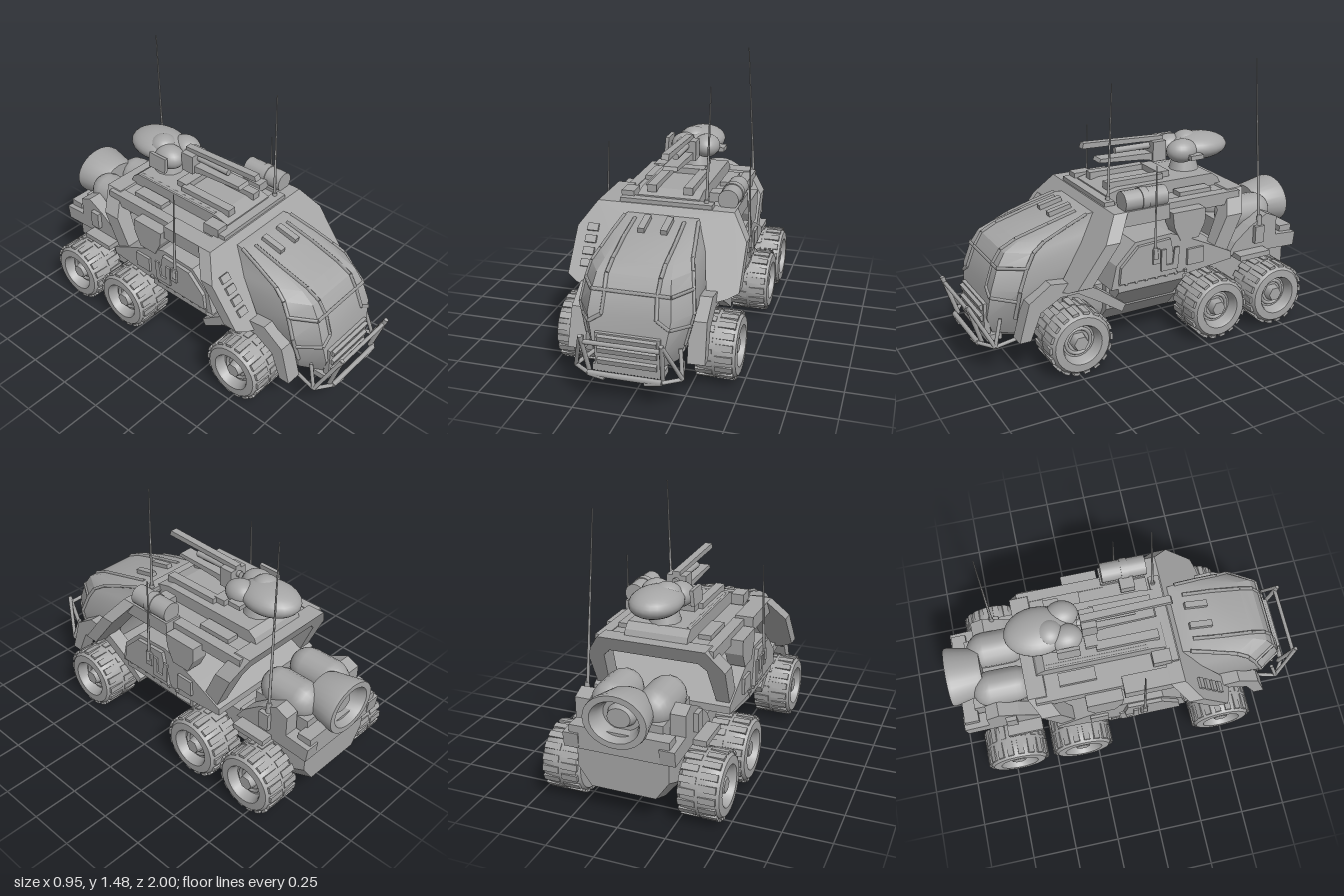
import * as THREE from 'three';
import { toCreasedNormals } from 'three/addons/utils/BufferGeometryUtils.js';

export function createModel() {
  const root = new THREE.Group();
  const grey = new THREE.MeshStandardMaterial({ color: 0xa6a6a6 });
  grey.name = 'armour grey';

  const add = (name, geo, parent = root) => {
    const m = new THREE.Mesh(geo, grey);
    m.name = name;
    parent.add(m);
    return m;
  };
  const box = (name, x, y, z, w, h, d, rx = 0, rz = 0, parent = root) => {
    const m = add(name, new THREE.BoxGeometry(w, h, d), parent);
    m.position.set(x, y, z);
    m.rotation.set(rx, 0, rz);
    return m;
  };
  // Round bar between two points
  const bar = (name, a, b, r, r2 = r, sides = 6) => {
    const p = new THREE.Vector3(...a), q = new THREE.Vector3(...b), d = q.clone().sub(p);
    const m = add(name, new THREE.CylinderGeometry(r2, r, d.length(), sides));
    m.position.copy(p).add(q).multiplyScalar(0.5);
    m.quaternion.setFromUnitVectors(new THREE.Vector3(0, 1, 0), d.normalize());
    return m;
  };
  const shapeOf = pts => new THREE.Shape(pts.map(p => new THREE.Vector2(...p)));
  // Side outline of [z, y] points, extruded from x0 to x1
  const slab = (name, pts, x0, x1) => {
    const g = new THREE.ExtrudeGeometry(shapeOf(pts), { depth: x1 - x0, bevelEnabled: false });
    return add(name, g.rotateY(-Math.PI / 2).translate(x1, 0, 0));
  };
  // Skin over equal rings, counterclockwise about the direction of travel
  const loft = (rings, crease = 0.5) => {
    const n = rings[0].length, idx = [];
    for (let r = 0; r < rings.length - 1; r++) for (let i = 0; i < n; i++) {
      const a = r * n + i, b = r * n + (i + 1) % n;
      idx.push(a, b, b + n, a, b + n, a + n);
    }
    const t = (rings.length - 1) * n;
    for (let i = 1; i < n - 1; i++) idx.push(0, i + 1, i, t, t + i, t + i + 1);
    const g = new THREE.BufferGeometry();
    g.setAttribute('position', new THREE.Float32BufferAttribute(rings.flat(2), 3));
    g.setIndex(idx);
    g.computeVertexNormals();
    return toCreasedNormals(g, crease);
  };
  const both = f => [1, -1].forEach(f);

  // Wheels: lathed tyre with recessed rim, hexagonal hub and tread blocks
  const tyre = new THREE.LatheGeometry([[0.0, -0.1], [0.1, -0.105], [0.15, -0.105], [0.167, -0.085], [0.172, -0.03],
    [0.172, 0.03], [0.167, 0.085], [0.15, 0.108], [0.108, 0.11], [0.1, 0.098], [0.088, 0.055], [0, 0.05]]
    .map(p => new THREE.Vector2(...p)), 28).rotateZ(-Math.PI / 2);
  const tyreGeo = toCreasedNormals(tyre, 0.6);
  both(s => [0.49, -0.34, -0.72].forEach(z => {
    const w = new THREE.Group();
    w.name = 'wheel';
    w.position.set(s * 0.363, 0.186, z);
    if (s < 0) w.rotation.y = Math.PI;
    add('tyre', tyreGeo, w);
    const ring = add('rimRing', new THREE.TorusGeometry(0.068, 0.01, 6, 20).rotateY(Math.PI / 2), w);
    ring.position.x = 0.056;
    add('hub', new THREE.CylinderGeometry(0.04, 0.05, 0.05, 6).rotateZ(-Math.PI / 2), w).position.x = 0.07;
    for (let i = 0; i < 18; i++) both(k => {
      const a = (i + (k > 0 ? 0.5 : 0)) * Math.PI / 9;
      const b = box('treadBlock', k * 0.052, Math.cos(a) * 0.169, Math.sin(a) * 0.169, 0.088, 0.014, 0.034, a, 0, w);
      b.rotation.y = 0;
    });
    root.add(w);
  }));
  [0.49, -0.34, -0.72].forEach(z => bar('axle', [-0.3, 0.186, z], [0.3, 0.186, z], 0.04, 0.04, 10));

  // Lower hull with sloping flanks, and the narrower rear chassis
  const hullRing = (z, w0, w1, y0, y1) => [[-w0, y0, z], [w0, y0, z], [w1, y0 + 0.1, z], [w1, y1, z], [-w1, y1, z], [-w1, y0 + 0.1, z]];
  add('lowerHull', loft([hullRing(-0.17, 0.19, 0.28, 0.145, 0.4), hullRing(0.26, 0.19, 0.28, 0.145, 0.4)]));
  add('frontChassis', loft([hullRing(0.26, 0.19, 0.24, 0.145, 0.38), hullRing(0.72, 0.17, 0.24, 0.15, 0.4)]));
  add('rearChassis', loft([hullRing(-0.92, 0.17, 0.24, 0.16, 0.39), hullRing(-0.8, 0.17, 0.25, 0.11, 0.4),
    hullRing(-0.5, 0.17, 0.25, 0.12, 0.4), hullRing(-0.16, 0.19, 0.25, 0.145, 0.4)]));
  both(s => {
    const x = v => s * v;
    const ring = z => [[x(0.2), 0.16, z], [x(0.385), 0.38, z], [x(0.385), 0.42, z], [x(0.2), 0.42, z]];
    const rs = [ring(-0.15), ring(0.24)];
    add('flankSkirt', loft(s > 0 ? rs : rs.reverse()));
  });

  // Cab: horizontal sections [y, half width, front z, back z]
  const cab = [[0.16, 0.17, 0.8, 0.5], [0.2, 0.21, 0.85, 0.48], [0.3, 0.25, 0.885, 0.47], [0.46, 0.29, 0.865, 0.46],
    [0.57, 0.275, 0.825, 0.4], [0.64, 0.26, 0.78, 0.36], [0.68, 0.24, 0.7, 0.33], [0.73, 0.22, 0.52, 0.3], [0.77, 0.2, 0.36, 0.26]];
  add('cab', loft(cab.map(([y, w, f, b]) => {
    const c = f - 0.3 * (f - b);
    return [[w * 0.72, y, f], [w, y, c], [w * 0.95, y, b], [-w * 0.95, y, b], [-w, y, c], [-w * 0.72, y, f]];
  }), 0.45));
  const cabAt = (y, k) => {
    const i = Math.max(1, cab.findIndex(c => c[0] >= y)), a = cab[i - 1], b = cab[i], t = (y - a[0]) / (b[0] - a[0]);
    const m = a.map((v, j) => v + (b[j] - v) * t);
    return [m[1] * k, y, k > 0.73 || k < -0.73 ? m[2] - 0.3 * (m[2] - m[3]) : m[2]];
  };
  const rib = (...pts) => pts.slice(1).forEach((p, i) => bar('cabRib', cabAt(...pts[i]), cabAt(...p), 0.011, 0.011, 4));
  both(s => {
    rib([0.77, s * 0.66], [0.73, s * 0.62], [0.68, s * 0.56], [0.64, s * 0.52], [0.57, s * 0.48], [0.46, s * 0.48], [0.42, s * 0.72], [0.4, s]);
    rib([0.77, s], [0.73, s], [0.68, s], [0.64, s], [0.57, s], [0.46, s], [0.3, s]);
    rib([0.57, 0], [0.57, s * 0.72], [0.57, s]);
    box('cabLatch', s * 0.06, 0.765, 0.42, 0.035, 0.03, 0.13, 0.22);
  });
  // Nose grille
  box('grillePanel', 0, 0.29, 0.88, 0.33, 0.17, 0.03);
  [0.23, 0.29, 0.35].forEach(y => box('grilleSlat', 0, y, 0.9, 0.3, 0.03, 0.02, 0.3));
  box('noseLip', 0, 0.185, 0.85, 0.36, 0.035, 0.08);

  // Front guard bars
  both(s => {
    const L = (a, b, r = 0.011) => bar('guardBar', [s * a[0], a[1], a[2]], [s * b[0], b[1], b[2]], r);
    L([0.2, 0.4, 0.99], [0.185, 0.18, 0.92], 0.013);
    L([0.2, 0.4, 0.99], [0.27, 0.18, 0.88]);
    L([0.27, 0.18, 0.88], [0.185, 0.18, 0.94]);
    L([0.27, 0.18, 0.88], [0.23, 0.18, 0.72]);
    L([0.27, 0.18, 0.88], [0.25, 0.32, 0.84]);
    L([0.185, 0.18, 0.94], [0.1, 0.165, 0.94], 0.015);
    // Front fenders and struts down to the hull
    slab('frontFender', [[0.78, 0.2], [0.72, 0.2], [0.66, 0.34], [0.55, 0.4], [0.45, 0.4], [0.44, 0.46], [0.6, 0.48], [0.72, 0.4]],
      s > 0 ? 0.27 : -0.36, s > 0 ? 0.36 : -0.27).rotation.z = s * 0.03;
    slab('hullStrut', [[0.5, 0.44], [0.46, 0.48], [0.34, 0.41], [0.18, 0.29], [0.2, 0.25], [0.32, 0.33]],
      s > 0 ? 0.27 : -0.35, s > 0 ? 0.35 : -0.27);
  });
  bar('guardCrossbar', [-0.2, 0.365, 0.978], [0.2, 0.365, 0.978], 0.012);
  bar('guardLowerBar', [-0.185, 0.18, 0.94], [0.185, 0.18, 0.94], 0.015);

  // Slanted arches: front outline leaned along z
  const arch = (name, half, depth, lean) => {
    const pts = [...half, ...half.slice().reverse().map(([x, y]) => [-x, y])];
    const g = new THREE.ExtrudeGeometry(shapeOf(pts), { depth, bevelEnabled: false });
    const p = g.attributes.position;
    for (let i = 0; i < p.count; i++) p.setZ(i, p.getZ(i) + lean(p.getY(i)));
    g.computeVertexNormals();
    return add(name, g);
  };
  const frontLean = y => 0.17 + (0.82 - y) * 0.75;
  arch('frontArch', [[0.2, 0.75], [0.25, 0.64], [0.29, 0.46], [0.3, 0.42], [0.4, 0.45], [0.455, 0.48], [0.455, 0.69], [0.37, 0.81]], 0.08, frontLean);
  arch('rearArch', [[0.24, 0.72], [0.28, 0.68], [0.3, 0.47], [0.37, 0.47], [0.375, 0.68], [0.29, 0.8]], 0.1, y => -0.58 + (0.8 - y) * 0.45);
  for (let i = 0; i < 4; i++) {
    const y = 0.69 - i * 0.052;
    box('archVent', -0.365, y, frontLean(y) + 0.085, 0.06, 0.04, 0.02, -0.64);
  }

  // Middle body and its side panels
  slab('middleBody', [[0.28, 0.4], [0.25, 0.53], [0.14, 0.64], [-0.07, 0.65], [-0.15, 0.62], [-0.3, 0.55], [-0.46, 0.47], [-0.46, 0.43], [-0.16, 0.4]], -0.38, 0.38);
  both(s => {
    const sp = (a, b) => (s > 0 ? [a, b] : [-b, -a]);
    slab('doorPanel', [[0.24, 0.43], [0.23, 0.52], [0.13, 0.62], [-0.06, 0.63], [-0.1, 0.43]], ...sp(0.37, 0.4));
    slab('doorHandle', [[0.0, 0.46], [0.0, 0.58], [-0.03, 0.58], [-0.03, 0.49], [-0.07, 0.49], [-0.08, 0.58], [-0.11, 0.58], [-0.1, 0.46]], ...sp(0.4, 0.41));
    slab('sideLocker', [[-0.08, 0.76], [-0.28, 0.76], [-0.28, 0.68], [-0.24, 0.6], [-0.13, 0.6], [-0.09, 0.68]], ...sp(0.29, 0.385));
    box('sideHatch', s * 0.385, 0.5, -0.22, 0.02, 0.09, 0.1);
    for (let i = 0; i < 7; i++) box('skirtBolt', s * 0.388, 0.425, 0.2 - i * 0.06, 0.015, 0.015, 0.015);
    // Roof side rails
    box('roofRail', s * 0.32, 0.77, 0.08, 0.1, 0.08, 0.3);
    box('roofRail', s * 0.29, 0.76, -0.3, 0.06, 0.07, 0.48);
    box('roofCover', s * 0.22, 0.795, -0.3, 0.07, 0.04, 0.2);
    box('aerialMount', s * 0.4, 0.55, 0.03, 0.025, 0.08, 0.04);
  });

  // Roof and equipment
  box('roof', 0, 0.755, -0.14, 0.56, 0.07, 0.78);
  box('roofFrontBeam', 0, 0.815, 0.22, 0.5, 0.035, 0.06);
  slab('roofDeck', [[0.2, 0.78], [0.2, 0.84], [0.12, 0.86], [-0.46, 0.86], [-0.5, 0.83], [-0.52, 0.78]], -0.17, 0.17);
  both(s => box('gunTrack', s * 0.1, 0.87, 0.0, 0.05, 0.04, 0.34));
  box('gunTrackEnd', 0, 0.87, -0.19, 0.2, 0.045, 0.07);
  bar('roofCanister', [0.32, 0.85, -0.06], [0.32, 0.85, 0.19], 0.055, 0.055, 18);
  bar('canisterCollar', [0.32, 0.85, 0.05], [0.32, 0.85, 0.09], 0.06, 0.06, 18);
  box('canisterBracket', 0.25, 0.83, 0.07, 0.1, 0.05, 0.08);
  box('roofSensor', -0.22, 0.83, 0.16, 0.07, 0.06, 0.1);
  bar('roofPipe', [-0.15, 0.85, 0.1], [-0.15, 0.85, -0.45], 0.015);

  // Turret: bulbous housing, pedestal and twin-deck gun
  bar('turretPedestal', [0, 0.84, -0.38], [0, 0.94, -0.38], 0.09, 0.06, 12);
  const blob = (x, y, z, rx, ry, rz) => {
    const m = add('turretHousing', new THREE.SphereGeometry(1, 24, 16));
    m.position.set(x, y, z);
    m.scale.set(rx, ry, rz);
  };
  blob(0.01, 0.985, -0.46, 0.135, 0.075, 0.175);
  blob(0.075, 0.985, -0.32, 0.075, 0.065, 0.09);
  blob(-0.055, 0.985, -0.32, 0.075, 0.065, 0.09);
  blob(-0.02, 1.01, -0.4, 0.075, 0.06, 0.075);
  slab('gunUpper', [[0.26, 1.06], [0.25, 1.09], [-0.23, 1.07], [-0.23, 1.04], [-0.1, 1.05]], -0.02, 0.02);
  slab('gunLower', [[0.17, 0.975], [0.16, 0.995], [-0.21, 0.985], [-0.21, 0.93], [-0.1, 0.955]], -0.04, 0.04);
  bar('gunBarrel', [0, 1.02, -0.25], [0, 1.02, 0.06], 0.018, 0.018, 10);
  box('gunBreech', 0, 0.995, -0.19, 0.11, 0.11, 0.08);
  box('turretShield', -0.145, 0.99, -0.32, 0.02, 0.085, 0.12, 0, -0.1);
  box('turretLug', 0.15, 0.965, -0.36, 0.05, 0.025, 0.08);

  // Aerials
  [[[0.21, 0.79, 0.21], [0.222, 1.44, 0.19]], [[0.285, 0.55, -0.71], [0.232, 1.49, -0.68]],
    [[-0.405, 0.54, 0.035], [-0.387, 1.07, 0.03]], [[0.405, 0.54, 0.035], [0.4, 1.04, 0.03]]].forEach(([a, b]) => {
    bar('aerial', a, b, 0.009, 0.003);
    bar('aerialBase', a, [a[0], a[1] + 0.06, a[2]], 0.017, 0.012, 8);
  });

  // Rear deck, engine pods and exhaust
  box('rearDeck', 0, 0.4, -0.72, 0.5, 0.04, 0.46);
  box('rearBumper', 0, 0.44, -0.92, 0.52, 0.12, 0.08);
  both(s => {
    const [a, b] = s > 0 ? [0.21, 0.29] : [-0.29, -0.21];
    slab('rearFlank', [[-0.5, 0.4], [-0.55, 0.47], [-0.65, 0.55], [-0.76, 0.61], [-0.83, 0.58], [-0.83, 0.47], [-0.97, 0.46], [-0.96, 0.38]], a, b);
    box('rearFender', s * 0.31, 0.4, -0.64, 0.1, 0.03, 0.2);
    box('rearLatch', s * 0.29, 0.5, -0.7, 0.05, 0.1, 0.06);
    const pod = add('enginePod', new THREE.CapsuleGeometry(0.1, 0.14, 6, 16).rotateX(Math.PI / 2));
    pod.position.set(s * 0.115, 0.575, -0.71);
  });
  box('engineBed', 0, 0.47, -0.72, 0.4, 0.14, 0.34);
  const exhaust = new THREE.LatheGeometry([[0, 0], [0.125, 0], [0.135, 0.02], [0.168, 0.17], [0.165, 0.19], [0.13, 0.19],
    [0.11, 0.15], [0.1, 0.1], [0.075, 0.1], [0.06, 0.14], [0, 0.14]].map(p => new THREE.Vector2(...p)), 28);
  const ex = add('exhaust', toCreasedNormals(exhaust.rotateX(-Math.PI / 2), 0.5));
  ex.position.set(0, 0.575, -0.81);
  ex.scale.y = 0.82;
  return root;
}
